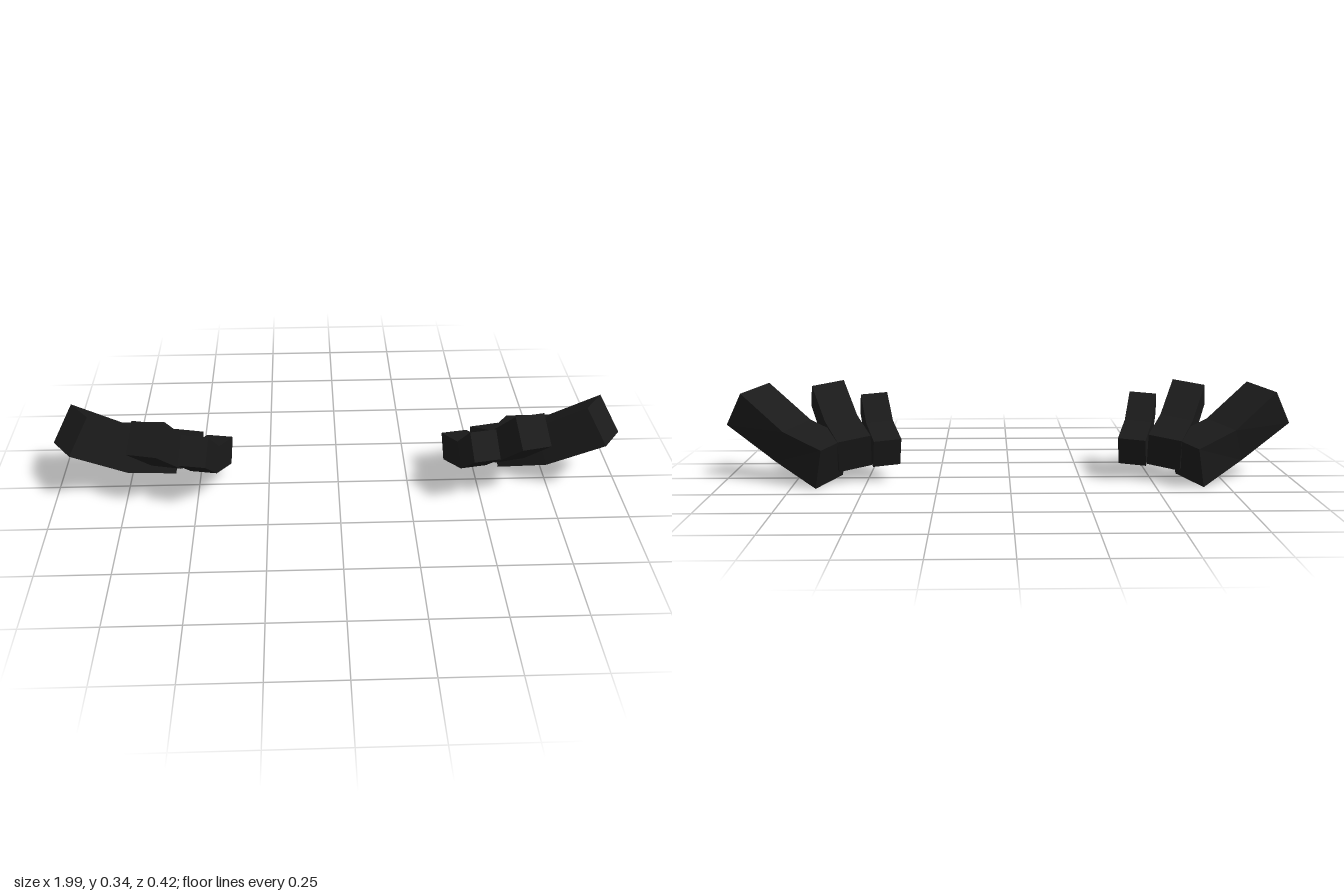
import * as THREE from 'three';

// Each finger: bottom and top points of its inner side at base, knuckle and tip,
// plus the offset across to its outer side (model's left hand).
const FINGERS = [
  {
    name: 'outerFinger',
    bottom: [[0.587, 0.024, -0.045], [0.738, 0.097, 0.057], [0.92, 0.217, 0.128]],
    top: [[0.56, 0.164, -0.085], [0.7, 0.214, -0.005], [0.855, 0.336, 0.068]],
    across: [0.077, -0.021, -0.125],
  },
  {
    name: 'middleFinger',
    bottom: [[0.484, 0.06, -0.05], [0.552, 0.13, 0.085], [0.615, 0.255, 0.205]],
    top: [[0.482, 0.172, -0.09], [0.54, 0.225, 0.025], [0.597, 0.338, 0.122]],
    across: [0.108, -0.015, -0.047],
  },
  {
    name: 'innerFinger',
    bottom: [[0.385, 0.062, -0.045], [0.426, 0.12, 0.103], [0.454, 0.213, 0.208]],
    top: [[0.377, 0.157, -0.075], [0.416, 0.2, 0.053], [0.443, 0.291, 0.14]],
    across: [0.093, -0.005, -0.025],
  },
];

// Bent square bar through three four-cornered sections; side is 1 or -1
function fingerGeometry({ bottom, top, across }, side) {
  const shift = (p) => p.map((v, i) => v + across[i]);
  const sections = bottom.map((b, i) => [b, top[i], shift(top[i]), shift(b)]);
  const positions = [];
  const triangle = (a, b, c) => {
    for (const p of side > 0 ? [a, b, c] : [a, c, b]) positions.push(p[0] * side, p[1], p[2]);
  };
  const quad = (a, b, c, d) => {
    triangle(a, b, c);
    triangle(a, c, d);
  };
  for (let s = 0; s < 2; s++) {
    const near = sections[s];
    const far = sections[s + 1];
    for (let i = 0; i < 4; i++) {
      const j = (i + 1) % 4;
      quad(near[i], far[i], far[j], near[j]);
    }
  }
  quad(...sections[0]);
  quad(...[...sections[2]].reverse());
  const geometry = new THREE.BufferGeometry();
  geometry.setAttribute('position', new THREE.Float32BufferAttribute(positions, 3));
  geometry.computeVertexNormals();
  return geometry;
}

export function createModel() {
  const model = new THREE.Group();
  model.name = 'claws';
  const black = new THREE.MeshStandardMaterial({ color: 0x1a1a1a });
  black.name = 'soft black';

  // A mirrored pair of three-fingered claws
  for (const side of [1, -1]) {
    const claw = new THREE.Group();
    claw.name = side > 0 ? 'leftClaw' : 'rightClaw';
    for (const finger of FINGERS) {
      const mesh = new THREE.Mesh(fingerGeometry(finger, side), black);
      mesh.name = finger.name;
      claw.add(mesh);
    }
    model.add(claw);
  }
  return model;
}
